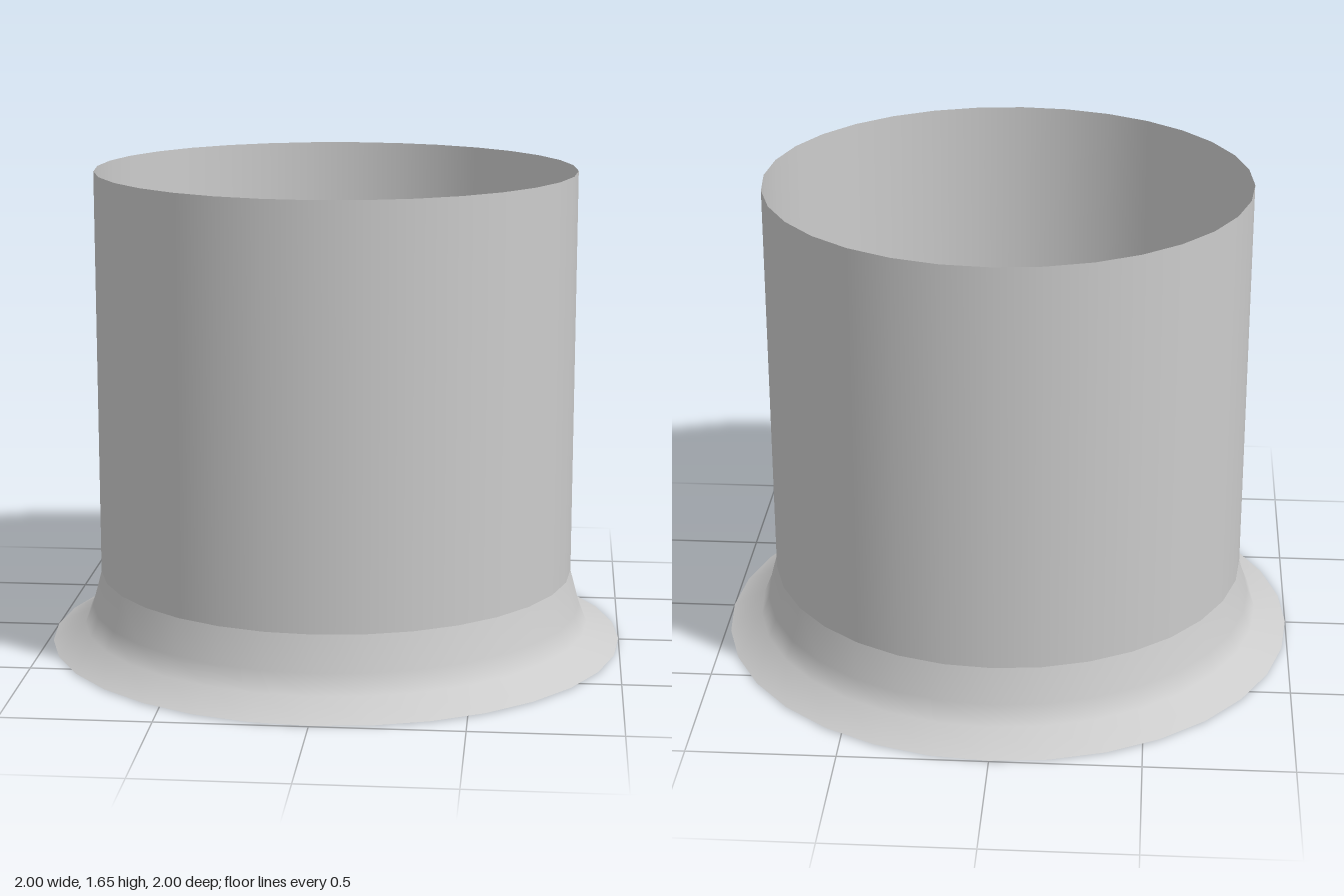
import * as THREE from 'three';

const SIDES = 32;
const TUBE_RADIUS = 0.827;
const TUBE_HEIGHT = 1.655;

export function createModel() {
  const model = new THREE.Group();
  model.name = 'flangedSleeve';
  const material = new THREE.MeshStandardMaterial({ color: 0xcccccc, side: THREE.DoubleSide });

  // Thin straight tube, open at both ends
  const tube = new THREE.Mesh(
    new THREE.CylinderGeometry(TUBE_RADIUS, TUBE_RADIUS, TUBE_HEIGHT, SIDES, 1, true),
    material
  );
  tube.name = 'tube';
  tube.position.y = TUBE_HEIGHT / 2;
  model.add(tube);

  // Flared skirt around the foot, hollow underneath
  const profile = [
    [1, 0.003],
    [0.887, 0.062],
    [0.859, 0.13],
    [TUBE_RADIUS, 0.25],
  ].map(([r, y]) => new THREE.Vector2(r, y));
  const skirt = new THREE.Mesh(new THREE.LatheGeometry(profile, SIDES), material);
  skirt.name = 'flaredSkirt';
  model.add(skirt);

  return model;
}
